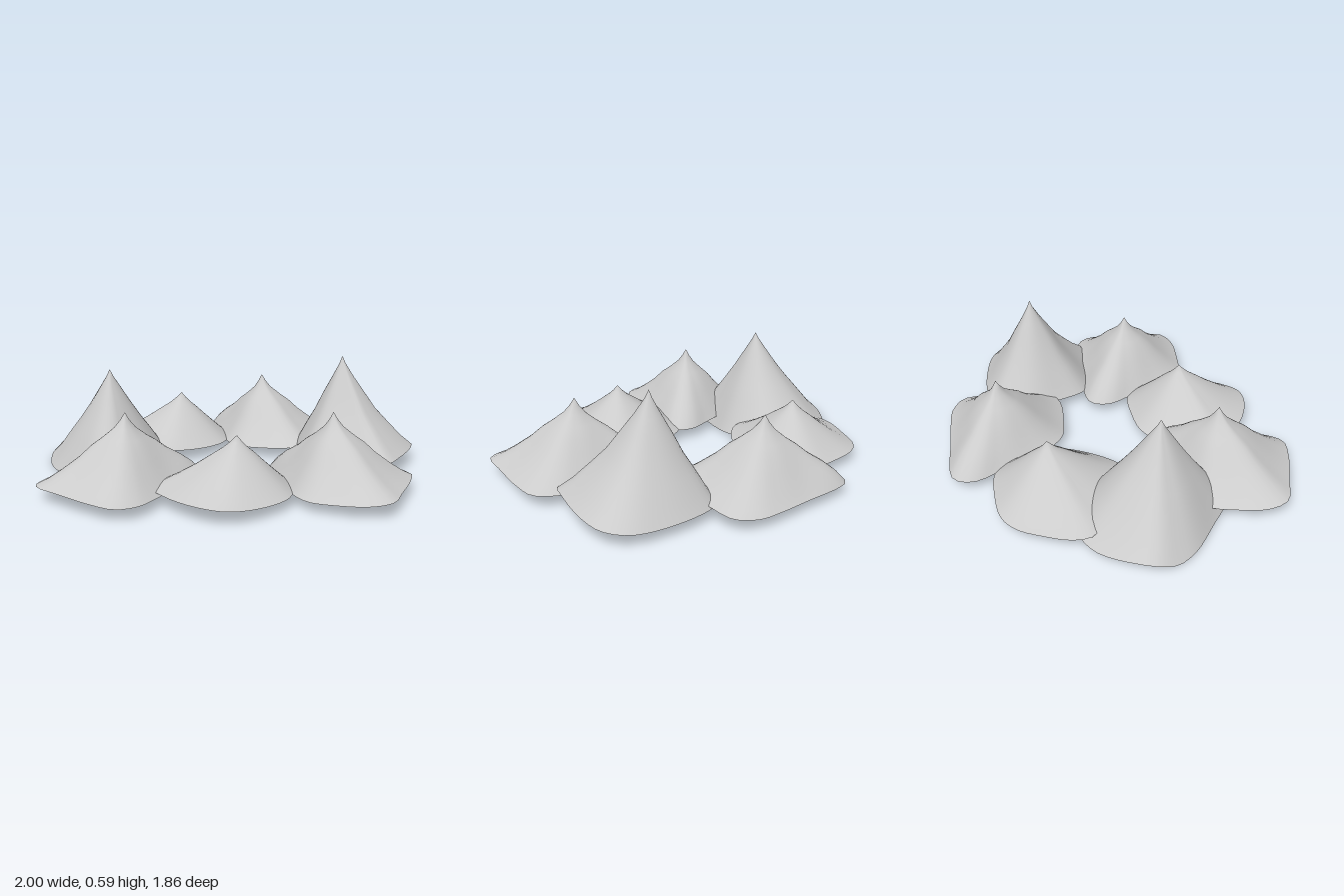
import * as THREE from 'three';
import { mergeVertices } from 'three/addons/utils/BufferGeometryUtils.js';

const SEGMENTS = 48;

// Hill kinds: footprint (x, z around the peak), slope profile (radius share, height share),
// rim height by place, and an optional spur with a blunt raised end.
const KINDS = {
  spurred: {
    outline: [[-0.395, -0.07], [-0.385, -0.14], [-0.33, -0.18], [-0.1, -0.25], [0.06, -0.3], [0.19, -0.33], [0.3, -0.3],
      [0.35, -0.18], [0.39, 0.03], [0.41, 0.18], [0.34, 0.26], [0.18, 0.31], [0.05, 0.33], [-0.05, 0.29],
      [-0.14, 0.21], [-0.24, 0.125], [-0.31, 0.05], [-0.37, -0.01]],
    profile: [[0, 1], [0.06, 0.89], [0.14, 0.78], [0.28, 0.65], [0.42, 0.53], [0.56, 0.37], [0.75, 0.19], [0.89, 0.07], [1, 0]],
    rim: (x) => 0.056 + 0.15 * Math.max(0, x) ** 2,
    spur: Math.atan2(-0.1, -0.4),
  },
  low: {
    outline: [[-0.38, 0.19], [-0.37, 0.06], [-0.34, -0.09], [-0.27, -0.18], [-0.12, -0.25], [0.03, -0.29], [0.13, -0.26],
      [0.23, -0.15], [0.29, -0.02], [0.26, 0.18], [0.17, 0.34], [0.05, 0.38], [-0.1, 0.37], [-0.25, 0.32], [-0.35, 0.28]],
    profile: [[0, 1], [0.08, 0.88], [0.17, 0.77], [0.3, 0.64], [0.5, 0.43], [0.7, 0.24], [0.87, 0.09], [1, 0]],
    rim: (x, z) => 0.058 + 0.17 * Math.max(0, z) ** 2,
  },
  tall: {
    outline: [[-0.285, -0.08], [-0.26, -0.18], [-0.17, -0.24], [0.03, -0.3], [0.22, -0.315], [0.32, -0.26], [0.37, -0.14],
      [0.395, 0.09], [0.385, 0.21], [0.23, 0.26], [0.03, 0.32], [-0.07, 0.31], [-0.17, 0.2], [-0.27, 0.05]],
    profile: [[0, 1], [0.05, 0.92], [0.18, 0.77], [0.34, 0.6], [0.5, 0.42], [0.66, 0.28], [0.85, 0.11], [1, 0]],
    rim: (x) => 0.06 + 0.23 * Math.max(0, x) ** 2,
  },
  tallSunken: {
    outline: [[-0.41, 0.03], [-0.4, -0.09], [-0.34, -0.25], [-0.26, -0.34], [-0.14, -0.39], [0, -0.4], [0.11, -0.36],
      [0.2, -0.25], [0.25, -0.13], [0.26, 0], [0.265, 0.13], [0.27, 0.24], [0.21, 0.32], [0.1, 0.33], [-0.05, 0.28],
      [-0.26, 0.2], [-0.37, 0.11]],
    profile: [[0, 1], [0.05, 0.93], [0.2, 0.77], [0.34, 0.62], [0.5, 0.46], [0.66, 0.31], [0.85, 0.12], [1, 0]],
    rim: (x, z) => 0.003 + 5 * Math.max(0, -x - 0.32) ** 2 + 0.07 * Math.max(0, -z),
  },
};

// Open shell lofted from peak to rim: rings are round near the peak and take the footprint's shape lower down
function hillGeometry({ outline, profile, rim, spur }, peak) {
  const curve = new THREE.CatmullRomCurve3(outline.map(([x, z]) => new THREE.Vector3(x, 0, z)), true);
  const edge = curve.getSpacedPoints(SEGMENTS).slice(0, SEGMENTS);
  const mean = edge.reduce((sum, p) => sum + p.length(), 0) / SEGMENTS;
  const positions = [];
  const index = [];
  profile.forEach(([t, h], ring) => {
    edge.forEach((p, s) => {
      const foot = rim(p.x, p.z);
      const scale = t * THREE.MathUtils.lerp(mean / p.length(), 1, 0.3 + 0.7 * t);
      let y = foot + (peak - foot) * h;
      if (spur !== undefined) {
        const along = Math.cos(Math.atan2(p.z, p.x) - spur);
        y += 0.4 * t ** 4 * (1 - t) * Math.max(0, along) ** 8;
      }
      positions.push(p.x * scale, y, p.z * scale);
      if (ring === profile.length - 1) return;
      const next = (s + 1) % SEGMENTS;
      const a = ring * SEGMENTS + s;
      const b = ring * SEGMENTS + next;
      index.push(a, b + SEGMENTS, a + SEGMENTS);
      if (ring > 0) index.push(a, b, b + SEGMENTS);
    });
  });
  const geometry = new THREE.BufferGeometry();
  geometry.setAttribute('position', new THREE.Float32BufferAttribute(positions, 3));
  geometry.setIndex(index);
  const merged = mergeVertices(geometry, 1e-5);
  merged.computeVertexNormals();
  return merged;
}

export function createModel() {
  const group = new THREE.Group();
  group.name = 'mountainRing';
  const material = new THREE.MeshStandardMaterial({ color: 0xcccccc, side: THREE.DoubleSide });

  // name, kind, peak x, peak z, peak height, turn
  const hills = [
    ['backMountain', 'spurred', -0.18, -0.6, 0.415, 0],
    ['leftMountain', 'spurred', 0.59, -0.03, 0.415, 0],
    ['frontMountain', 'spurred', -0.26, 0.55, 0.415, -1.78],
    ['frontLeftHill', 'low', 0.25, 0.32, 0.325, 0],
    ['backRightHill', 'low', -0.53, -0.26, 0.325, 0],
    ['backLeftPeak', 'tall', 0.38, -0.54, 0.595, 0],
    ['rightPeak', 'tallSunken', -0.59, 0.29, 0.55, 0],
  ];
  for (const [name, kind, x, z, peak, turn] of hills) {
    const hill = new THREE.Mesh(hillGeometry(KINDS[kind], peak), material);
    hill.name = name;
    hill.position.set(x, 0, z);
    hill.rotation.y = turn;
    group.add(hill);
  }
  return group;
}
